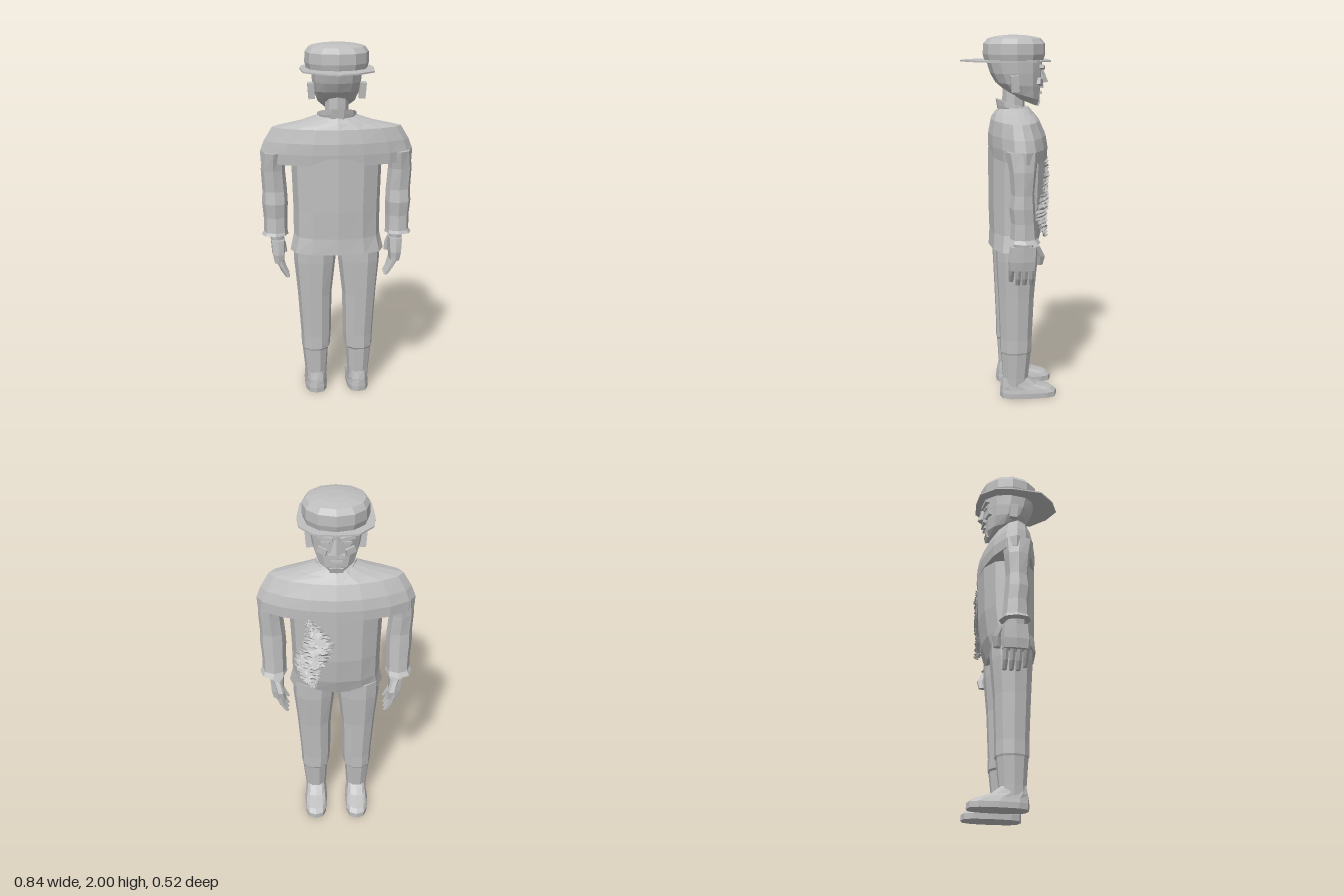
import * as THREE from 'three';

const plaster = new THREE.MeshStandardMaterial({ color: 0xbfbfbf });
plaster.name = 'plasterGrey';
plaster.flatShading = true;
plaster.side = THREE.DoubleSide;

// Capped stack of superellipse rings, lowest first.
// Ring: [y, centreX, halfWidth, zBack, zFront, tilt]; the figure looks along -z.
function loft(rings, sides, power = 2) {
  const pos = [];
  const e = 2 / power;
  const bend = (v) => Math.sign(v) * Math.abs(v) ** e;
  const loops = rings.map(([y, cx, w, zb, zf, tilt = 0]) => {
    const loop = [];
    for (let i = 0; i < sides; i++) {
      const a = (i / sides) * Math.PI * 2;
      const dz = (-bend(Math.sin(a)) * (zb - zf)) / 2;
      loop.push([cx + w * bend(Math.cos(a)), y + tilt * dz, (zb + zf) / 2 + dz]);
    }
    return loop;
  });
  const tri = (a, b, c) => pos.push(...a, ...b, ...c);
  const middle = ([y, cx, , zb, zf]) => [cx, y, (zb + zf) / 2];
  const last = rings.length - 1;
  for (let i = 0; i < sides; i++) {
    const j = (i + 1) % sides;
    for (let r = 0; r < last; r++) {
      const a = loops[r], b = loops[r + 1];
      tri(a[i], a[j], b[j]);
      tri(a[i], b[j], b[i]);
    }
    tri(middle(rings[0]), loops[0][j], loops[0][i]);
    tri(middle(rings[last]), loops[last][i], loops[last][j]);
  }
  const g = new THREE.BufferGeometry();
  g.setAttribute('position', new THREE.Float32BufferAttribute(pos, 3));
  g.computeVertexNormals();
  return g;
}

// Ragged patch of horizontal folds following the front of the jacket
function tornPatch() {
  let seed = 7;
  const rnd = () => (seed = (seed * 16807) % 2147483647) / 2147483647;
  const rows = 44, cols = 8, pos = [], index = [];
  for (let r = 0; r <= rows; r++) {
    const t = r / rows;
    const half = 0.012 + 0.075 * Math.sin(Math.PI * t) ** 0.8 * (0.85 + 0.3 * rnd());
    const y = 0.92 + 0.45 * t;
    const mid = 0.125 + 0.03 * Math.sin(t * 7);
    for (let c = 0; c <= cols; c++) {
      const u = (c / cols) * 2 - 1;
      const x = mid + u * half;
      const surface = -0.045 - 0.153 * (1 - (x / 0.245) ** 2.3) ** (1 / 2.3);
      const fold = (r % 2 ? -0.016 : 0.004) * (1 - u * u) - 0.012 * rnd();
      pos.push(x, y + 0.012 * (rnd() - 0.5), surface + fold);
      if (r < rows && c < cols) {
        const a = r * (cols + 1) + c, b = a + cols + 1;
        index.push(a, b, a + 1, b, b + 1, a + 1);
      }
    }
  }
  const g = new THREE.BufferGeometry();
  g.setAttribute('position', new THREE.Float32BufferAttribute(pos, 3));
  g.setIndex(index);
  g.computeVertexNormals();
  return g;
}

export function createModel() {
  const model = new THREE.Group();
  model.name = 'manInHat';
  const add = (name, geometry, x = 0, y = 0, z = 0, rx = 0, ry = 0, rz = 0) => {
    const mesh = new THREE.Mesh(geometry, plaster);
    mesh.name = name;
    mesh.position.set(x, y, z);
    mesh.rotation.set(rx, ry, rz);
    model.add(mesh);
  };
  const box = (w, h, d) => new THREE.BoxGeometry(w, h, d);

  // Jacket body and broad sloping shoulders
  add('jacket', loft([
    [0.86, 0, 0.26, 0.11, -0.15], [0.95, 0, 0.24, 0.105, -0.18],
    [1.1, 0, 0.24, 0.11, -0.2], [1.25, 0, 0.245, 0.11, -0.205],
    [1.4, 0, 0.25, 0.11, -0.21]], 12, 2.4));
  add('shoulders', loft([
    [1.36, 0, 0.415, 0.105, -0.208], [1.42, 0, 0.418, 0.11, -0.21],
    [1.48, 0, 0.395, 0.11, -0.2], [1.555, 0, 0.35, 0.095, -0.165],
    [1.585, 0, 0.21, 0.08, -0.14], [1.62, 0, 0.1, 0.05, -0.11]], 16, 1.75));
  add('tornPatch', tornPatch());

  // Collar and neck
  add('collar', loft([
    [1.585, 0, 0.095, 0.06, -0.12, 0.2], [1.61, 0, 0.108, 0.065, -0.125, 0.25],
    [1.635, 0, 0.105, 0.07, -0.12, 0.3]], 10));
  add('neck', loft([[1.58, 0, 0.065, 0.035, -0.09], [1.74, 0, 0.062, 0.03, -0.09]], 8));

  // Head with a jaw sloping down to the chin
  add('head', loft([
    [1.65, 0, 0.055, -0.02, -0.16, 0.4], [1.685, 0, 0.1, 0.025, -0.17, 0.3],
    [1.74, 0, 0.122, 0.07, -0.175, 0.1], [1.8, 0, 0.132, 0.098, -0.18],
    [1.87, 0, 0.137, 0.12, -0.185]], 12, 2.4));

  // Face
  add('nose', new THREE.CylinderGeometry(0.01, 0.03, 0.075, 4), 0, 1.785, -0.183, 0.12);
  add('moustache', box(0.085, 0.02, 0.03), 0, 1.73, -0.172);
  add('lowerLip', box(0.06, 0.014, 0.024), 0, 1.695, -0.168);
  add('chin', box(0.07, 0.03, 0.035), 0, 1.644, -0.15, -0.3);

  for (const s of [1, -1]) {
    const side = s > 0 ? 'left' : 'right';
    const name = (part) => side + part;
    add(name('Brow'), box(0.075, 0.018, 0.025), s * 0.055, 1.832, -0.176, 0, s * -0.2, s * 0.15);
    add(name('Eye'), box(0.045, 0.014, 0.008), s * 0.055, 1.803, -0.176, 0, s * -0.2);
    add(name('Cheek'), box(0.05, 0.035, 0.02), s * 0.07, 1.755, -0.163, 0, s * -0.4, s * 0.3);
    add(name('Ear'), box(0.035, 0.085, 0.042), s * 0.138, 1.75, -0.022, 0.08, 0, s * -0.08);

    // Sleeve with a flared cuff
    add(name('Sleeve'), loft([
      [0.945, s * 0.345, 0.075, 0.035, -0.135, 0.05], [0.965, s * 0.34, 0.066, 0.025, -0.118],
      [1.05, s * 0.34, 0.066, 0.02, -0.11], [1.13, s * 0.342, 0.071, 0.03, -0.105],
      [1.2, s * 0.342, 0.068, 0.02, -0.1], [1.32, s * 0.35, 0.066, 0.03, -0.11],
      [1.42, s * 0.345, 0.06, 0.05, -0.12]], 8, 2.3));

    // Hand
    add(name('Wrist'), loft([
      [0.9, s * 0.332, 0.036, 0.005, -0.1], [0.96, s * 0.335, 0.04, 0.01, -0.1]], 8, 2.5));
    add(name('Palm'), loft([
      [0.79, s * 0.325, 0.028, 0.03, -0.115], [0.84, s * 0.328, 0.036, 0.035, -0.12],
      [0.92, s * 0.33, 0.04, 0.025, -0.12]], 8, 4));
    for (let f = 0; f < 4; f++) {
      const z = 0.014 - f * 0.036, drop = f === 0 ? 0.02 : 0;
      add(name('Finger' + (f + 1)), loft([
        [0.695 + drop, s * 0.277, 0.012, z + 0.012, z - 0.012],
        [0.735 + drop, s * 0.3, 0.016, z + 0.015, z - 0.015],
        [0.8, s * 0.322, 0.02, z + 0.017, z - 0.017]], 6, 2.5));
    }
    add(name('Thumb'), loft([
      [0.81, s * 0.292, 0.015, -0.115, -0.155], [0.86, s * 0.305, 0.021, -0.108, -0.165],
      [0.92, s * 0.325, 0.022, -0.085, -0.135]], 6, 2.5));

    // Trouser leg with a hem line below the knee
    add(name('TrouserLeg'), loft([
      [0.07, s * 0.122, 0.058, 0.045, -0.095], [0.12, s * 0.122, 0.062, 0.045, -0.1],
      [0.265, s * 0.125, 0.074, 0.055, -0.115], [0.275, s * 0.122, 0.081, 0.06, -0.12],
      [0.35, s * 0.12, 0.085, 0.06, -0.12], [0.6, s * 0.126, 0.096, 0.07, -0.13],
      [0.8, s * 0.124, 0.117, 0.08, -0.148], [0.9, s * 0.122, 0.12, 0.08, -0.15]], 10, 2.3));

    // Shoe
    add(name('Shoe'), loft([
      [0, s * 0.121, 0.064, 0.058, -0.26], [0.03, s * 0.121, 0.066, 0.06, -0.26],
      [0.05, s * 0.121, 0.062, 0.058, -0.235], [0.075, s * 0.121, 0.058, 0.055, -0.15],
      [0.12, s * 0.121, 0.052, 0.045, -0.09]], 12, 3));
  }

  // Hat: faceted crown on a thin brim, longest behind the head
  add('hatCrown', loft([
    [1.866, 0, 0.163, 0.128, -0.19], [1.9, 0, 0.172, 0.137, -0.2],
    [1.955, 0, 0.171, 0.135, -0.198], [1.983, 0, 0.15, 0.11, -0.175],
    [1.994, 0, 0.1, 0.065, -0.125], [2, 0, 0.05, 0.015, -0.075]], 12, 2.1));
  const half = [[0.11, -0.215], [0.185, -0.13], [0.198, -0.03], [0.185, 0.13], [0.097, 0.215]];
  const outline = [[0, -0.225], ...half, [0, 0.257],
    ...half.map(([x, z]) => [-x, z]).reverse()];
  const brim = new THREE.ExtrudeGeometry(
    new THREE.Shape(outline.map(([x, z]) => new THREE.Vector2(x, z))),
    { depth: 0.008, bevelEnabled: false });
  add('hatBrim', brim, 0, 1.87, 0, Math.PI / 2);

  return model;
}
